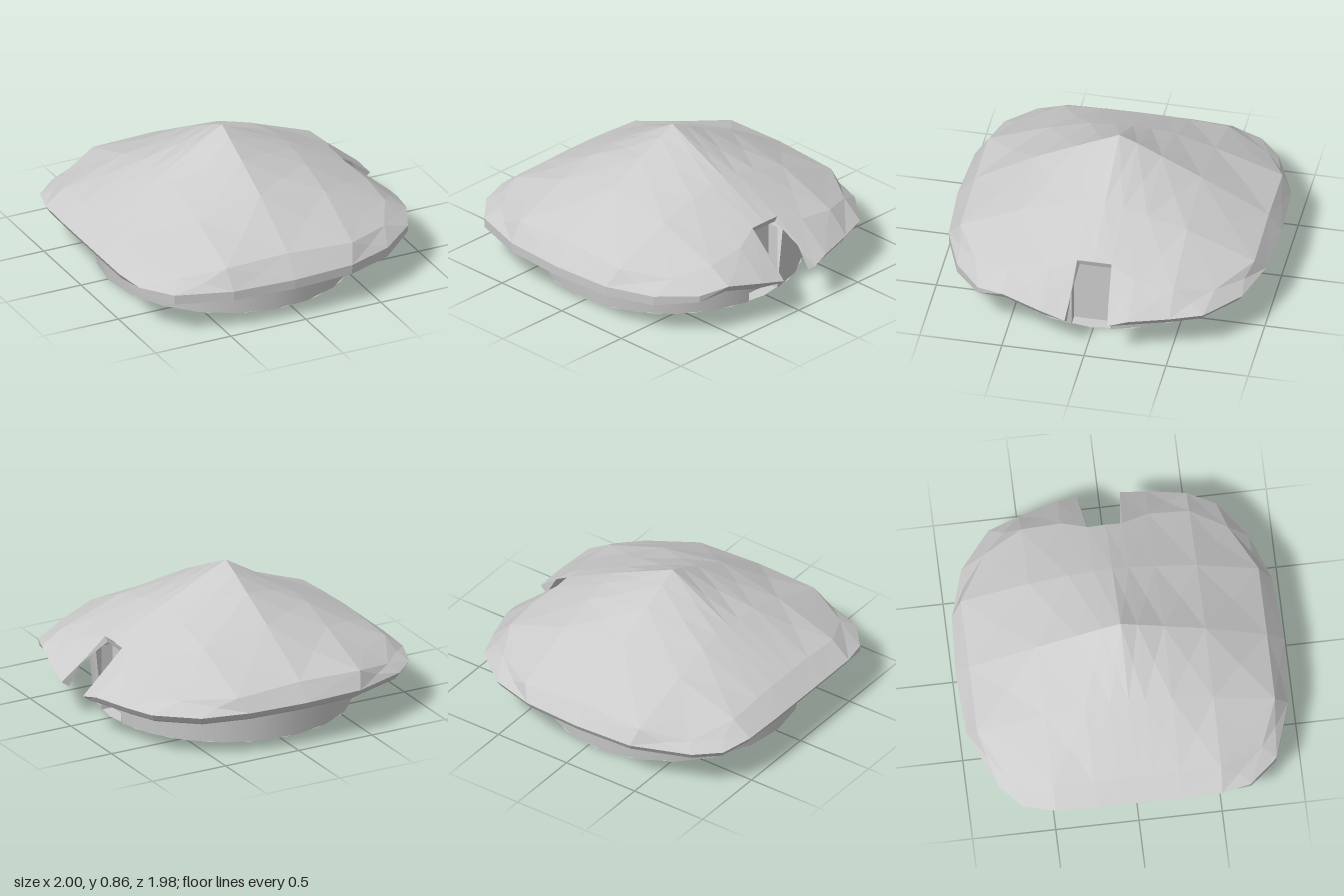
import * as THREE from 'three';

const grey = new THREE.MeshStandardMaterial({ color: 0xcccccc, side: THREE.DoubleSide });
const greyFlat = new THREE.MeshStandardMaterial({ color: 0xcccccc, side: THREE.DoubleSide, flatShading: true });

// Eave outline [x, z, y], from one side of the door notch round to the other
const EAVE = [
  [0.995, 0.12, 0.24], [0.97, 0.28, 0.275], [0.915, 0.51, 0.32], [0.84, 0.68, 0.29], [0.62, 0.85, 0.27],
  [0.33, 0.96, 0.27], [-0.06, 0.985, 0.27], [-0.46, 0.96, 0.27], [-0.8, 0.85, 0.27], [-0.95, 0.68, 0.28],
  [-0.995, 0.5, 0.3], [-1, 0.25, 0.305], [-1, 0.1, 0.305], [-1, 0, 0.305], [-1, -0.12, 0.305], [-1, -0.25, 0.305],
  [-0.99, -0.5, 0.3], [-0.93, -0.69, 0.28], [-0.79, -0.82, 0.28], [-0.44, -0.97, 0.29], [-0.06, -0.99, 0.29],
  [0.31, -0.97, 0.29], [0.6, -0.88, 0.28], [0.83, -0.69, 0.28], [0.9, -0.5, 0.275], [0.97, -0.26, 0.27],
  [0.995, -0.14, 0.24],
];

// Roof grid lines inside the eave, and heights by distance from the middle row
const COLS = [-0.87, -0.47, -0.06, 0.37, 0.77];
const ROWS = [-0.91, -0.5, -0.26, -0.11, 0, 0.1, 0.26, 0.51, 0.88];
const HEIGHTS = [
  [0.41, 0.62, 0.862, 0.66, 0.49],
  [0.41, 0.615, 0.815, 0.645, 0.485],
  [0.405, 0.6, 0.74, 0.615, 0.435],
  [0.39, 0.53, 0.62, 0.55, 0.405],
  [0.33, 0.39, 0.4, 0.375, 0.355],
];
const PEAK_X = -0.06;
const DOOR_X = 0.64, DOOR_TOP = 0.41;

function roofGrid() {
  const grid = Array.from({ length: 7 }, () => []);
  COLS.forEach((x, c) => ROWS.forEach((z, r) => {
    const ring = Math.abs(r - 4);
    let px = x, pz = z;
    if (c === 4 && ring < 2) px = 0.71;
    if (ring === 4 && c === 0) [px, pz] = [-0.74, Math.sign(z) * 0.77];
    if (ring === 4 && c === 4) [px, pz] = [0.66, Math.sign(z) * 0.73];
    grid[c + 1][r + 1] = [px, HEIGHTS[ring][c], pz];
  }));
  // The eave surrounds the grid: right, front, left, back, right again
  const slots = [];
  for (let r = 6; r <= 9; r++) slots.push([6, r]);
  for (let c = 5; c >= 1; c--) slots.push([c, 10]);
  for (let r = 9; r >= 1; r--) slots.push([0, r]);
  for (let c = 1; c <= 5; c++) slots.push([c, 0]);
  for (let r = 1; r <= 4; r++) slots.push([6, r]);
  slots.forEach(([c, r], i) => {
    const [x, z, y] = EAVE[i];
    grid[c][r] = [x, y, z];
  });
  return grid;
}

// Eave edge, lip and underside below one eave point
function eaveSection([x, z, y]) {
  const at = (s, h) => [PEAK_X + (x - PEAK_X) * s, h, z * s];
  const diagonal = Math.sin(2 * Math.atan2(z, x - PEAK_X)) ** 2;
  const lip = z > 0.6 ? 0.998 : 0.975;
  let thick = z > 0.8 ? 0.06 : 0.04;
  if (Math.abs(z) < 0.2 && x > 0) thick = 0.02;
  return [at(1, y), at(lip, y - thick), at(0.955, y - thick - 0.015),
    at(0.88, 0.35 - 0.08 * diagonal), at(0.72, 0.455 - 0.075 * diagonal)];
}

function roofGeometry() {
  const positions = [];
  const face = (...p) => {
    for (let i = 1; i < p.length - 1; i++) positions.push(...p[0], ...p[i], ...p[i + 1]);
  };
  // Top, each cell fanned round its middle, leaving out the notch cells
  const grid = roofGrid();
  for (let c = 0; c < 6; c++) {
    for (let r = 0; r < 10; r++) {
      if (c === 5 && (r === 4 || r === 5)) continue;
      const cell = [grid[c][r], grid[c][r + 1], grid[c + 1][r + 1], grid[c + 1][r]].filter(Boolean);
      const middle = [0, 1, 2].map((k) => cell.reduce((sum, p) => sum + p[k], 0) / cell.length);
      cell.forEach((p, i) => face(middle, p, cell[(i + 1) % cell.length]));
    }
  }
  // Lip and underside
  const sections = EAVE.map(eaveSection);
  for (let i = 0; i < sections.length - 1; i++) {
    const a = sections[i], b = sections[i + 1];
    for (let j = 0; j < a.length - 1; j++) face(a[j], b[j], b[j + 1], a[j + 1]);
  }
  // Notch: two cut sides, then the lintel sloping in to the door
  const first = sections[0], last = sections[sections.length - 1];
  face(first[3], first[4], grid[5][6], first[0], first[1], first[2]);
  face(last[3], last[2], last[1], last[0], grid[5][4], last[4]);
  face(grid[5][6], first[4], last[4], grid[5][4]);
  face(first[4], [DOOR_X, DOOR_TOP, 0.13], [DOOR_X, DOOR_TOP, -0.11], last[4]);

  const geo = new THREE.BufferGeometry();
  geo.setAttribute('position', new THREE.Float32BufferAttribute(positions, 3));
  geo.computeVertexNormals();
  return geo;
}

export function createModel() {
  const model = new THREE.Group();
  model.name = 'hut';
  const add = (name, geo, material, x, y, z) => {
    const mesh = new THREE.Mesh(geo, material);
    mesh.name = name;
    mesh.position.set(x, y, z);
    model.add(mesh);
    return mesh;
  };

  add('roof', roofGeometry(), greyFlat, 0, 0, 0);

  // Round wall, slightly deeper than wide, left open at the doorway
  const half = 0.155, height = 0.4, cx = -0.05, cz = 0.013, deep = 1.02;
  const wall = new THREE.CylinderGeometry(0.81, 0.772, height, 20, 1, true, Math.PI / 2 + half, 2 * Math.PI - 2 * half);
  add('wall', wall.scale(1, 1, deep), grey, cx, height / 2, cz);
  const floor = new THREE.CircleGeometry(0.772, 20).rotateX(Math.PI / 2);
  add('floor', floor.scale(1, 1, deep), grey, cx, 0.001, cz);

  // Recessed door with a jamb on each side
  add('door', new THREE.BoxGeometry(0.02, DOOR_TOP, 0.24), greyFlat, DOOR_X - 0.01, DOOR_TOP / 2 + 0.002, cz);
  for (const side of [-1, 1]) {
    const jamb = add(side > 0 ? 'leftJamb' : 'rightJamb', new THREE.PlaneGeometry(0.08, DOOR_TOP), greyFlat,
      DOOR_X + 0.035, DOOR_TOP / 2 + 0.002, cz + side * 0.12);
    if (side > 0) jamb.rotation.y = Math.PI;
  }
  return model;
}
